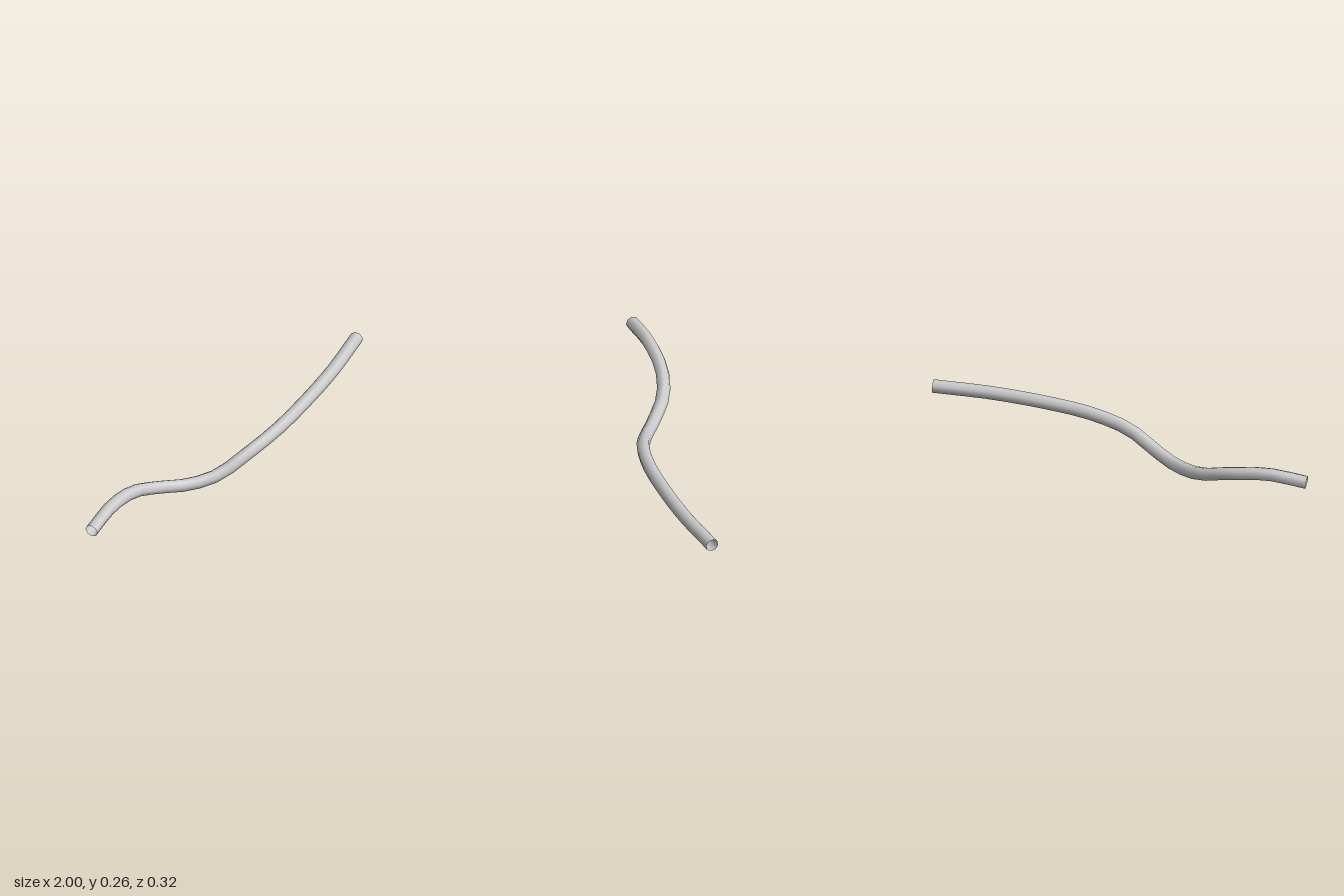
import * as THREE from 'three';

export function createModel() {
  const group = new THREE.Group();
  group.name = 'bentTube';

  // Centre line of the tube, from its right end to its left end
  const path = new THREE.CatmullRomCurve3([
    [-0.995, 0.105, -0.083],
    [-0.8, 0.131, -0.115],
    [-0.6, 0.106, -0.133],
    [-0.45, 0.062, -0.105],
    [-0.3, 0.036, -0.022],
    [-0.17, 0.052, 0.05],
    [0, 0.118, 0.108],
    [0.2, 0.157, 0.128],
    [0.4, 0.181, 0.116],
    [0.7, 0.208, 0.073],
    [0.986, 0.229, 0.003],
  ].map((p) => new THREE.Vector3(...p)));

  // Open-ended eight-sided hose with smooth normals
  const hose = new THREE.Mesh(
    new THREE.TubeGeometry(path, 24, 0.033, 8, false),
    new THREE.MeshStandardMaterial({ color: 0xcccccc, side: THREE.DoubleSide })
  );
  hose.name = 'hose';
  group.add(hose);

  return group;
}
